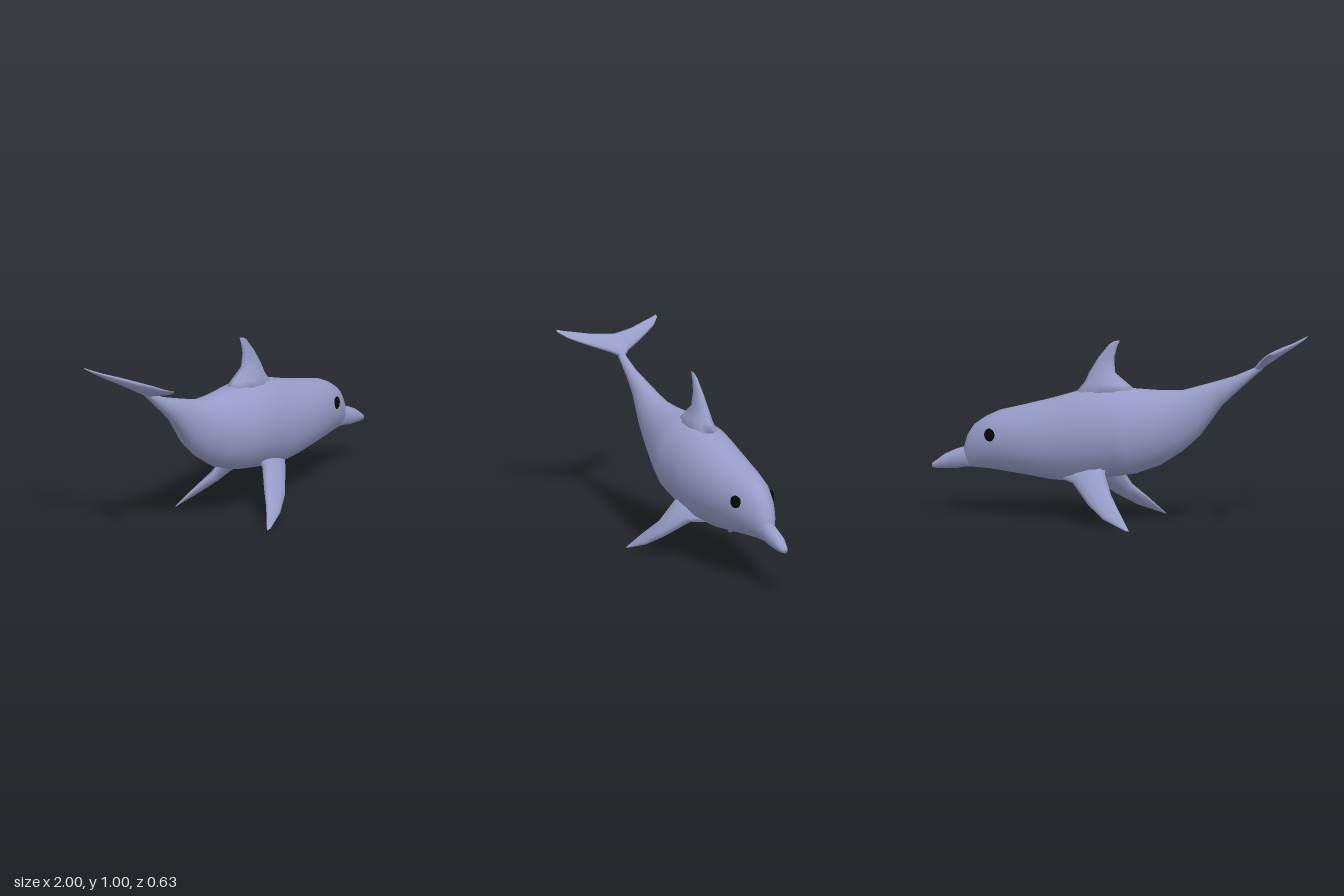
import * as THREE from 'three';

const skin = new THREE.MeshStandardMaterial({ color: 0x979dc8 });
skin.name = 'blue grey skin';
const black = new THREE.MeshStandardMaterial({ color: 0x060606 });
black.name = 'eye black';

// Skins a list of rings (each counter-clockwise about the loft direction) and closes both ends.
function loft(rings) {
  const n = rings[0].length, pos = [], index = [];
  rings.forEach(r => r.forEach(p => pos.push(p.x, p.y, p.z)));
  for (let i = 0; i < rings.length - 1; i++) {
    for (let j = 0; j < n; j++) {
      const a = i * n + j, b = i * n + (j + 1) % n;
      index.push(a, b, a + n, b, b + n, a + n);
    }
  }
  const last = (rings.length - 1) * n;
  for (let j = 1; j < n - 1; j++) {
    index.push(0, j + 1, j, last, last + j, last + j + 1);
  }
  const g = new THREE.BufferGeometry();
  g.setAttribute('position', new THREE.Float32BufferAttribute(pos, 3));
  g.setIndex(index);
  g.computeVertexNormals();
  return g;
}

// Elliptical trunk along x; stations are [x, top, bottom, half width].
function trunk(stations, sides = 20) {
  return loft(stations.map(([x, top, bottom, w]) => Array.from({ length: sides }, (_, j) => {
    const a = j / sides * Math.PI * 2;
    return new THREE.Vector3(x, (top + bottom) / 2 + Math.cos(a) * (top - bottom) / 2, Math.sin(a) * w);
  })));
}

// Lens-shaped fin; sections are [leading edge, trailing edge, half thickness].
function fin(sections, sides = 10) {
  const s = sections.map(([l, t, h]) => {
    const lead = new THREE.Vector3(...l), trail = new THREE.Vector3(...t);
    return { mid: lead.clone().add(trail).multiplyScalar(0.5), half: lead.clone().sub(trail).multiplyScalar(0.5), h };
  });
  return loft(s.map(({ mid, half, h }, i) => {
    const span = s[Math.min(i + 1, s.length - 1)].mid.clone().sub(s[Math.max(i - 1, 0)].mid);
    const normal = span.cross(half).normalize();
    return Array.from({ length: sides }, (_, j) => {
      const a = j / sides * Math.PI * 2;
      return mid.clone().addScaledVector(half, Math.cos(a)).addScaledVector(normal, Math.sin(a) * h);
    });
  }));
}

const flip = p => [p[0], p[1], -p[2]];

export function createModel() {
  const model = new THREE.Group();
  model.name = 'dolphin';
  const add = (name, geometry, material = skin) => {
    const mesh = new THREE.Mesh(geometry, material);
    mesh.name = name;
    model.add(mesh);
    return mesh;
  };

  // Body from tail stock to forehead
  add('body', trunk([
    [-0.88, 0.93, 0.895, 0.012], [-0.84, 0.888, 0.855, 0.02], [-0.8, 0.868, 0.82, 0.022],
    [-0.7, 0.822, 0.73, 0.032], [-0.62, 0.795, 0.655, 0.048], [-0.5, 0.757, 0.49, 0.077],
    [-0.4, 0.727, 0.4, 0.1], [-0.28, 0.72, 0.32, 0.132], [-0.14, 0.722, 0.265, 0.175],
    [-0.06, 0.724, 0.25, 0.188], [0.08, 0.716, 0.225, 0.188], [0.18, 0.695, 0.205, 0.182],
    [0.32, 0.65, 0.208, 0.173], [0.48, 0.605, 0.228, 0.153], [0.62, 0.568, 0.243, 0.123],
    [0.7, 0.53, 0.25, 0.095], [0.765, 0.483, 0.252, 0.066], [0.8, 0.43, 0.255, 0.046],
    [0.82, 0.365, 0.262, 0.025],
  ]));

  // Beak
  add('beak', trunk([
    [0.74, 0.39, 0.255, 0.045], [0.82, 0.36, 0.25, 0.043], [0.86, 0.348, 0.241, 0.04],
    [0.93, 0.315, 0.236, 0.036], [0.98, 0.277, 0.234, 0.024], [1, 0.262, 0.238, 0.012],
  ], 12));

  // Dorsal fin, swept back
  add('dorsalFin', fin([
    [[0.22, 0.66, 0], [-0.2, 0.67, 0], 0.085],
    [[0.15, 0.74, 0], [-0.1, 0.74, 0], 0.058],
    [[0.12, 0.8, 0], [-0.022, 0.8, 0], 0.037],
    [[0.07, 0.88, 0], [-0.017, 0.88, 0], 0.02],
    [[0.012, 0.95, 0], [-0.033, 0.94, 0], 0.01],
    [[-0.015, 0.968, 0], [-0.05, 0.975, 0], 0.004],
  ]));

  // Tail flukes, one piece from tip to tip
  const halfFluke = [
    [[-0.985, 0.99, 0.3], [-1, 1, 0.298], 0.003],
    [[-0.945, 0.963, 0.26], [-0.99, 0.99, 0.26], 0.007],
    [[-0.912, 0.936, 0.2], [-0.972, 0.98, 0.2], 0.011],
    [[-0.872, 0.905, 0.12], [-0.94, 0.968, 0.12], 0.015],
    [[-0.842, 0.878, 0.05], [-0.925, 0.962, 0.05], 0.018],
  ];
  add('tailFlukes', fin([
    ...halfFluke.map(([l, t, h]) => [flip(l), flip(t), h]),
    [[-0.8, 0.85, 0], [-0.918, 0.958, 0], 0.02],
    ...halfFluke.slice().reverse(),
  ]));

  // Pectoral flippers and eyes, mirrored across z
  const flipper = [
    [[0.3, 0.235, 0.03], [0.0, 0.34, 0.08], 0.03],
    [[0.17, 0.215, 0.13], [-0.01, 0.275, 0.13], 0.037],
    [[0.05, 0.12, 0.23], [-0.06, 0.17, 0.175], 0.028],
    [[-0.05, 0.055, 0.277], [-0.125, 0.1, 0.24], 0.017],
    [[-0.18, 0.01, 0.314], [-0.205, 0.005, 0.308], 0.003],
  ];
  for (const [side, name] of [[1, 'right'], [-1, 'left']]) {
    add(name + 'Flipper', fin(side > 0 ? flipper : flipper.map(([l, t, h]) => [flip(l), flip(t), h])));
    const eye = add(name + 'Eye', new THREE.SphereGeometry(0.035, 16, 12), black);
    eye.scale.z = 0.4;
    eye.position.set(0.645, 0.445, side * 0.108);
    eye.rotation.y = side > 0 ? 0.4 : -0.4;
  }
  return model;
}
